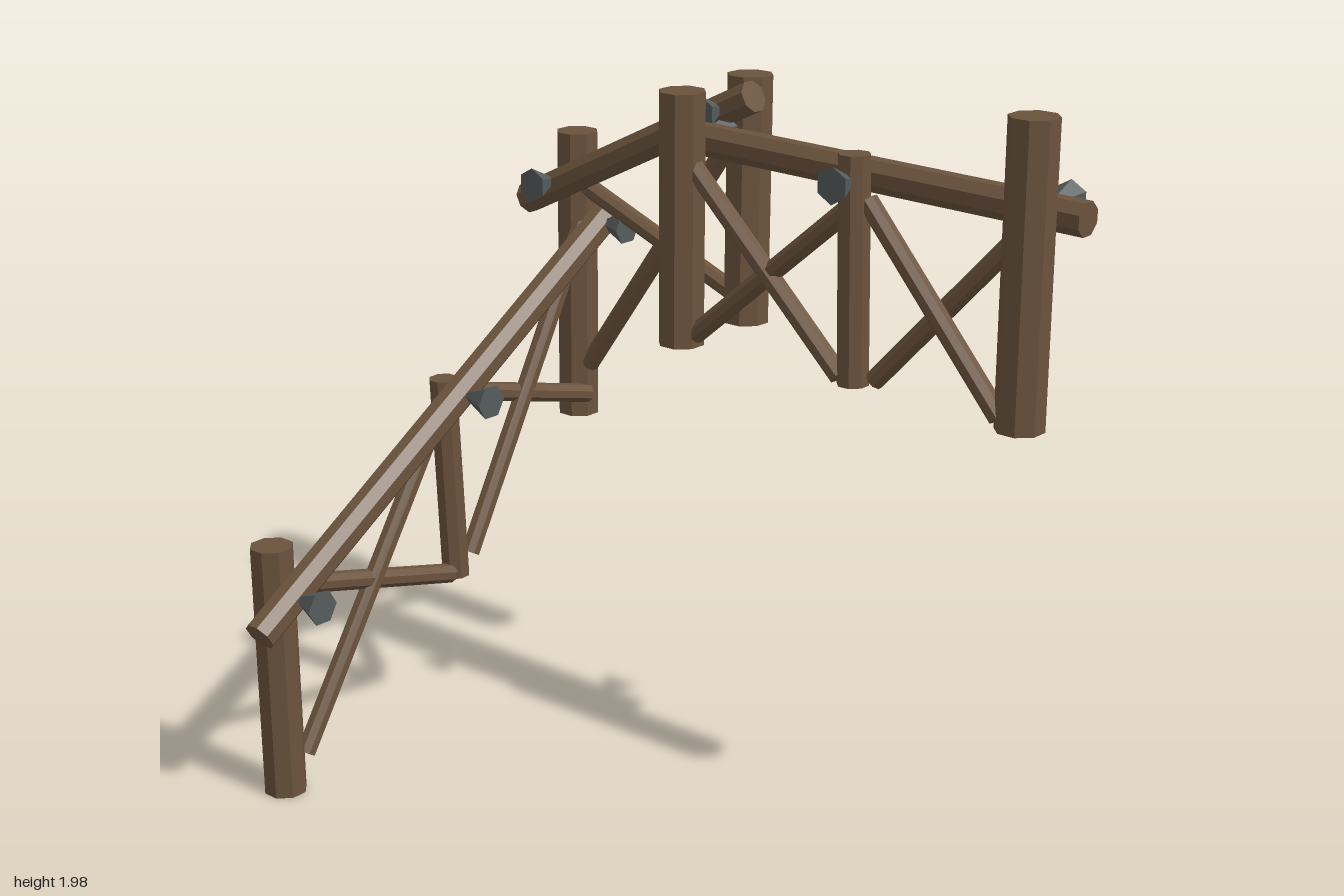
import * as THREE from 'three';

const UP = new THREE.Vector3(0, 1, 0);

export function createModel() {
  const model = new THREE.Group();
  model.name = 'steppedFence';
  const wood = new THREE.MeshStandardMaterial({ color: 0x6b533d, flatShading: true });
  wood.name = 'brown wood';
  const iron = new THREE.MeshStandardMaterial({ color: 0x555b5b, flatShading: true });
  iron.name = 'grey iron';

  // Faceted rod from point a to point b, with end radii ra and rb
  function rod(name, a, b, ra, rb, sides, material) {
    const start = new THREE.Vector3(...a), end = new THREE.Vector3(...b);
    const dir = end.clone().sub(start);
    const geometry = new THREE.CylinderGeometry(rb, ra, dir.length(), sides);
    geometry.rotateY(Math.PI / sides);
    const mesh = new THREE.Mesh(geometry, material);
    mesh.name = name;
    mesh.position.copy(start).add(end).multiplyScalar(0.5);
    mesh.quaternion.setFromUnitVectors(UP, dir.normalize());
    model.add(mesh);
  }

  // Upright posts: bottom, top, radius
  const posts = [
    [[-0.60, 0, -0.81], [-0.605, 0.73, -0.81], 0.06],
    [[0.655, 0.78, -0.85], [0.66, 1.64, -0.85], 0.062],
    [[0.66, 1.19, -0.21], [0.672, 1.89, -0.215], 0.065],
    [[0.38, 1.19, -0.21], [0.38, 1.89, -0.21], 0.065],
    [[0.382, 1.19, 0.89], [0.385, 1.98, 0.885], 0.065],
  ];
  for (const [a, b, r] of posts) rod('post', a, b, r, r, 8, wood);

  // Thin posts in the middle of the two long spans
  rod('middlePost', [0.07, 0.44, -0.80], [0.05, 1.04, -0.81], 0.041, 0.041, 8, wood);
  rod('middlePost', [0.375, 1.20, 0.38], [0.375, 1.81, 0.365], 0.043, 0.043, 8, wood);

  // Handrails
  rod('backRail', [-0.725, 0.525, -0.735], [0.71, 1.405, -0.77], 0.046, 0.046, 8, wood);
  rod('cornerRail', [0.575, 1.855, -0.125], [0.575, 1.435, -0.97], 0.046, 0.046, 8, wood);
  rod('sideRail', [0.465, 1.73, 1.0], [0.455, 1.75, -0.29], 0.046, 0.046, 8, wood);

  // Crossed braces under each rail
  const braces = [
    [[-0.60, 0.61, -0.82], [0.04, 0.455, -0.79]],
    [[-0.53, 0.09, -0.80], [0.05, 1.00, -0.80]],
    [[0.05, 1.00, -0.82], [0.64, 0.85, -0.80]],
    [[0.12, 0.495, -0.79], [0.62, 1.38, -0.80]],
    [[0.65, 1.72, -0.25], [0.65, 0.94, -0.80]],
    [[0.65, 1.27, -0.25], [0.65, 1.49, -0.82]],
    [[0.44, 1.70, 0.86], [0.40, 1.215, 0.43]],
    [[0.365, 1.215, 0.84], [0.39, 1.69, 0.40]],
    [[0.37, 1.215, 0.34], [0.38, 1.69, -0.17]],
    [[0.38, 1.69, 0.38], [0.38, 1.225, -0.16]],
  ];
  for (const [a, b] of braces) rod('brace', a, b, 0.028, 0.028, 8, wood);

  // Flared bolts: narrow end, wide end
  const bolts = [
    [[-0.60, 0.60, -0.71], [-0.60, 0.60, -0.62]],
    [[0.05, 1.01, -0.71], [0.05, 1.01, -0.62]],
    [[0.665, 1.38, -0.75], [0.665, 1.38, -0.66]],
    [[0.55, 1.81, -0.225], [0.47, 1.81, -0.225]],
    [[0.55, 1.51, -0.855], [0.47, 1.51, -0.855]],
    [[0.49, 1.74, 0.88], [0.575, 1.74, 0.88]],
    [[0.35, 1.745, 0.37], [0.275, 1.745, 0.37]],
    [[0.48, 1.745, -0.215], [0.565, 1.745, -0.215]],
  ];
  for (const [a, b] of bolts) rod('bolt', a, b, 0.012, 0.05, 6, iron);

  return model;
}
